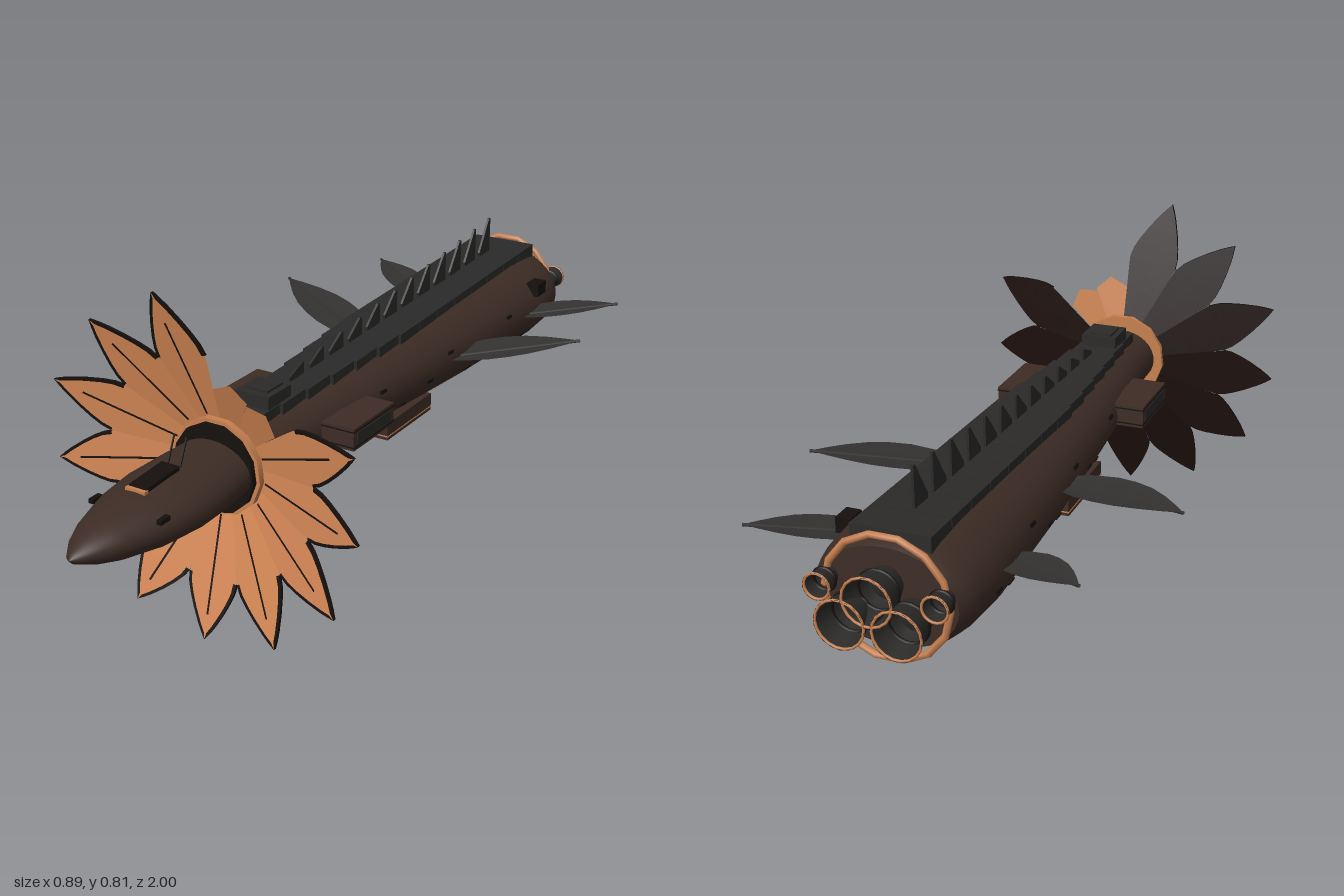
import * as THREE from 'three';

const mat = (color, extra = {}) => new THREE.MeshStandardMaterial({ color, ...extra });
const DS = { side: THREE.DoubleSide };
const hull = mat(0x3d2c25, DS), dark = mat(0x2b2a29, DS), black = mat(0x15100e, DS);
const copper = mat(0xc8804f, DS), petalFront = mat(0xd58856), petalBack = mat(0x1d100d);
const leafMat = mat(0x333231, DS);

// Surface through rows of points
function sheet(rows) {
  const n = rows[0].length, index = [];
  for (let i = 0; i < rows.length - 1; i++)
    for (let j = 0; j < n - 1; j++) {
      const a = i * n + j, b = a + n;
      index.push(a, b, a + 1, a + 1, b, b + 1);
    }
  const g = new THREE.BufferGeometry();
  g.setAttribute('position', new THREE.Float32BufferAttribute(rows.flat(2), 3));
  g.setIndex(index);
  g.computeVertexNormals();
  return g;
}

// Elliptical hull from sections [z, rx, ry]
function loft(sections, n = 32) {
  return sheet(sections.map(([z, rx, ry]) => Array.from({ length: n + 1 }, (_, j) => {
    const t = -Math.PI / 2 + (j / n) * Math.PI * 2;
    return [rx * Math.cos(t), ry * Math.sin(t), z];
  })));
}

export function createModel() {
  const root = new THREE.Group();
  root.name = 'flowerShip';
  const ship = new THREE.Group();
  ship.name = 'ship';
  ship.position.set(0.0155, 0.41, 0);
  root.add(ship);

  const add = (name, geo, material, parent = ship) => {
    const m = new THREE.Mesh(geo, material);
    m.name = name;
    parent.add(m);
    return m;
  };
  const box = (name, w, h, d, x, y, z, material) => {
    const m = add(name, new THREE.BoxGeometry(w, h, d), material);
    m.position.set(x, y, z);
    return m;
  };
  const ring = (name, r, tube, x, y, z, sides, material) => {
    const m = add(name, new THREE.TorusGeometry(r, tube, 6, sides), material);
    m.position.set(x, y, z);
  };

  // Hull and nose
  const body = [[0.5, 0.09, 0.075], [0.4, 0.092, 0.077], [0.2, 0.115, 0.087], [0, 0.135, 0.099],
    [-0.4, 0.166, 0.115], [-0.75, 0.182, 0.126], [-0.85, 0.176, 0.122], [-0.89, 0.167, 0.117], [-0.912, 0.153, 0.109]];
  add('hull', loft(body), hull);
  add('sternPlate', loft([[-0.912, 0.153, 0.109], [-0.914, 0, 0]]), hull);
  add('nose', loft([[1, 0, 0], [0.99, 0.016, 0.011], [0.95, 0.045, 0.029], [0.9, 0.069, 0.043], [0.8, 0.1, 0.059],
    [0.7, 0.113, 0.065], [0.6, 0.108, 0.067], [0.5, 0.095, 0.07]]), hull);

  // Half width and half height of the hull at z
  const girth = z => {
    let i = 0;
    while (i < body.length - 2 && z < body[i + 1][0]) i++;
    const [a, b] = [body[i], body[i + 1]], t = (z - a[0]) / (b[0] - a[0]);
    return [a[1] + (b[1] - a[1]) * t, a[2] + (b[2] - a[2]) * t];
  };

  // Collar that holds the petals
  const disc = (name, r, d, z, material) => {
    const g = new THREE.CylinderGeometry(r, r, d, 13).rotateX(Math.PI / 2);
    add(name, g, material).position.z = z;
  };
  disc('collar', 0.115, 0.035, 0.5, copper);
  disc('innerCollar', 0.106, 0.03, 0.515, black);

  // Petals: half width against radius, leaning forward
  const outline = [[0.1, 0.025], [0.18, 0.0444], [0.23, 0.0567], [0.262, 0.064], [0.285, 0.0615], [0.31, 0.053],
    [0.34, 0.0395], [0.372, 0.0225], [0.39, 0.011], [0.405, 0]];
  const lean = r => 0.498 + 0.085 * (r - 0.1) / 0.3;
  const thick = 0.006;
  const lengths = [0.402, 0.411, 0.419, 0.403, 0.419, 0, 0, 0.418, 0.415, 0.415, 0.396, 0.4, 0.402];
  const flower = new THREE.Group();
  flower.name = 'petals';
  ship.add(flower);
  lengths.forEach((len, k) => {
    const p = new THREE.Group();
    p.name = len ? 'petal' : 'brokenPetal';
    p.rotation.z = Math.PI + (k / 13) * Math.PI * 2;
    flower.add(p);
    if (!len) {
      const at = (s, r) => [s, r, lean(r)];
      add('petalStump', sheet([[at(0.025, 0.1), at(0, 0.1), at(-0.025, 0.1)],
        [at(0.045, 0.188), at(0, 0.213), at(-0.045, 0.18)]]), copper, p);
      return;
    }
    // Only the free part beyond the valley changes with length
    const pts = outline.map(([r, w]) => [r < 0.27 ? r : 0.262 + (r - 0.262) * (len - 0.262) / 0.143, w]);
    const free = pts.slice(3);
    add('petalFace', sheet(pts.map(([r, w]) => [w, 0, -w].map(s => [s, r, lean(r)]))), petalFront, p);
    add('petalBack', sheet(pts.map(([r, w]) => [-w, 0, w].map(s => [s, r, lean(r) - thick]))), petalBack, p);
    for (const s of [1, -1]) {
      add('petalEdge', sheet(free.map(([r, w]) =>
        [w, Math.max(0, w - 0.008)].map(x => [s * x, r, lean(r) + 0.002]))), black, p);
      add('petalRim', sheet(free.map(([r, w]) => [0.002, -thick].map(d => [s * w, r, lean(r) + d]))), black, p);
    }
    add('petalRib', sheet([0.12, 0.345].map(r => [0.0025, -0.0025].map(x => [x, r, lean(r) + 0.003]))), black, p);
  });

  // Armoured spine with a row of upright blades
  const spineTop = z => 0.098 + (0.2 - z) * 0.034;
  const spineHalf = z => Math.min(0.088, 0.044 + (0.43 - z) * 0.075);
  for (let i = 0; i < 14; i++) {
    const z = 0.385 - i * 0.0945;
    box('spinePlate', spineHalf(z) * 2, 0.04, 0.092, 0, spineTop(z) - 0.02, z, dark).rotation.x = 0.034;
  }
  box('spineBed', 0.07, 0.03, 1.3, 0, 0.092, -0.22, black).rotation.x = 0.034;
  for (let i = 0; i < 12; i++) {
    const z = 0.17 - i * 0.0868, h = 0.028 + i * 0.006, d = 0.06;
    const s = new THREE.Shape([[0, -0.01], [d, -0.01], [d, 0.008], [0.008, h], [0, h]].map(a => new THREE.Vector2(...a)));
    const g = new THREE.ExtrudeGeometry(s, { depth: 0.006, bevelEnabled: false }).translate(0, 0, -0.003).rotateY(-Math.PI / 2);
    add('spineBlade', g, dark).position.set(0, spineTop(z), z);
  }

  // Dorsal housing
  box('dorsalHousing', 0.09, 0.045, 0.09, 0, 0.1, 0.335, dark);
  box('dorsalHousingCap', 0.06, 0.008, 0.06, 0, 0.124, 0.33, dark);

  // Cockpit slot, aerials and windows on the nose
  box('cockpit', 0.046, 0.022, 0.11, 0, 0.06, 0.73, black).rotation.x = 0.06;
  box('cockpitSill', 0.05, 0.014, 0.012, 0, 0.058, 0.788, copper);
  for (const s of [1, -1]) {
    box('aerial', 0.003, 0.066, 0.003, s * 0.016, 0.093, 0.652, black).rotation.x = -0.42;
    box('noseWindow', 0.012, 0.01, 0.03, s * 0.087, 0.03, 0.815, black);
  }

  // Leaf shaped fins, folded along the midrib
  const leaf = (rx, rz, tx, tz, ty, half) => {
    const L = Math.hypot(tx - rx, tz - rz), px = -(tz - rz) / L, pz = (tx - rx) / L;
    const rows = [0, 0.12, 0.3, 0.45, 0.6, 0.75, 0.88, 1].map((t, i) => {
      const w = half * [0.5, 0.78, 1, 1, 0.88, 0.62, 0.32, 0][i];
      return [-1, 0, 1].map(s => [rx + (tx - rx) * t + px * w * s,
        ty * t + Math.abs(s) * w * 0.12, rz + (tz - rz) * t + pz * w * s]);
    });
    add('leafFin', sheet(rows), leafMat);
    const rib = rows.map(r => new THREE.Vector3(...r[1]));
    add('leafRib', new THREE.TubeGeometry(new THREE.CatmullRomCurve3(rib), 8, 0.004, 5), leafMat);
  };
  leaf(0.13, -0.31, 0.422, -0.466, 0.053, 0.07);
  leaf(-0.13, -0.31, -0.462, -0.47, 0.057, 0.07);
  leaf(0.15, -0.68, 0.385, -0.81, 0.038, 0.056);
  leaf(-0.15, -0.68, -0.355, -0.8, 0.038, 0.056);

  // Side pods, belly pods, portholes
  for (const s of [1, -1]) {
    box('sidePod', 0.085, 0.054, 0.18, s * 0.15, 0.007, 0.17, hull);
    for (const y of [-0.012, 0.026]) box('sidePodTrim', 0.087, 0.003, 0.182, s * 0.15, y, 0.17, black);
    box('sidePodPanel', 0.004, 0.028, 0.15, s * 0.192, 0.007, 0.17, dark);
    box('bellyPod', 0.06, 0.045, 0.22, s * 0.09, -0.1, -0.13, hull);
    box('bellyPodTrim', 0.062, 0.003, 0.222, s * 0.09, -0.113, -0.13, copper);
    box('bellyPodPanel', 0.04, 0.004, 0.18, s * 0.09, -0.123, -0.13, dark);
    for (let i = 0; i < 9; i++) {
      const z = 0.02 - i * 0.1, [rx, ry] = girth(z), a = [0.25, -0.45, -0.15][i % 3];
      const w = box('porthole', 0.006, 0.008, 0.024, s * rx * Math.cos(a), ry * Math.sin(a), z, black);
      w.rotation.z = s * a;
    }
  }
  for (const z of [-0.35, -0.55, -0.72]) box('bellyHatch', 0.04, 0.006, 0.05, 0.02, -girth(z)[1], z, black);
  box('sensorBlock', 0.035, 0.035, 0.05, 0.165, 0.06, -0.755, black);

  // Stern ring and engine nozzles
  ring('sternRing', 0.137, 0.008, 0, 0, -0.915, 14, copper);
  const nozzle = (x, y, r, end) => {
    const len = end - 0.905;
    const profile = [[0, 0.012], [r * 0.62, 0.012], [r * 0.66, 0], [r * 0.8, len * 0.45], [r, len]].map(p => new THREE.Vector2(...p));
    add('nozzle', new THREE.LatheGeometry(profile, 18).rotateX(-Math.PI / 2), dark).position.set(x, y, -0.905);
    ring('nozzleRim', r - 0.002, 0.003, x, y, -end + 0.003, 18, copper);
    ring('nozzleBand', r * 0.8, 0.004, x, y, -0.905 - len * 0.42, 18, black);
  };
  nozzle(0, 0.033, 0.055, 1);
  for (const s of [1, -1]) {
    nozzle(s * 0.061, -0.027, 0.055, 1);
    nozzle(s * 0.126, 0.025, 0.03, 0.965);
  }
  return root;
}
